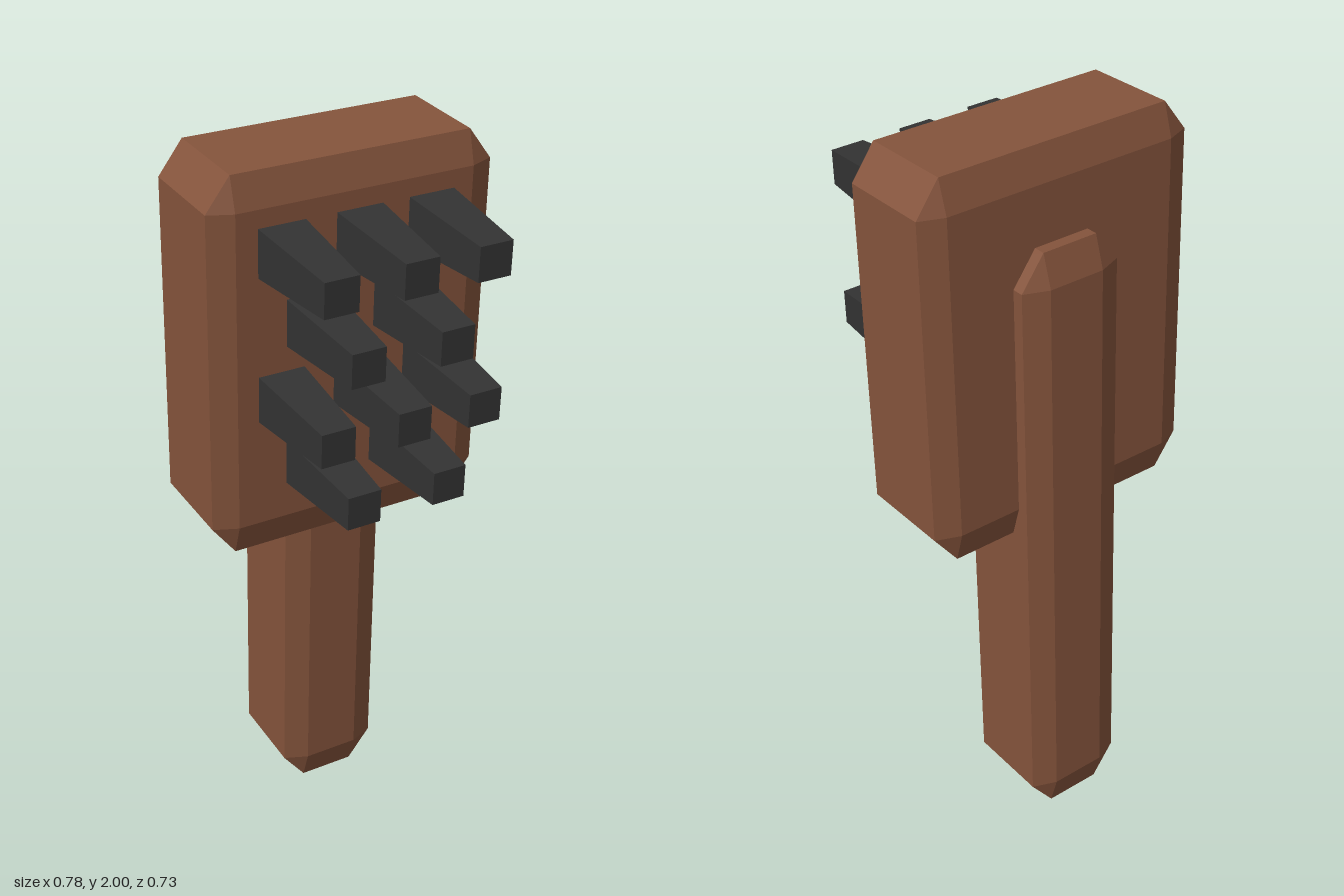
import * as THREE from 'three';
import { ConvexGeometry } from 'three/addons/geometries/ConvexGeometry.js';

const wood = new THREE.MeshStandardMaterial({ name: 'brown wood', color: 0x85543c, flatShading: true });
const rubber = new THREE.MeshStandardMaterial({ name: 'black bristle', color: 0x333333, flatShading: true });

// Box with every edge and corner bevelled; the bevel depth differs per axis
function bevelledBox(hx, hy, hz, bx, by, bz) {
  const points = [];
  for (const sx of [-1, 1]) for (const sy of [-1, 1]) for (const sz of [-1, 1]) {
    points.push(
      new THREE.Vector3(sx * hx, sy * (hy - by), sz * (hz - bz)),
      new THREE.Vector3(sx * (hx - bx), sy * hy, sz * (hz - bz)),
      new THREE.Vector3(sx * (hx - bx), sy * (hy - by), sz * hz));
  }
  return new ConvexGeometry(points);
}

export function createModel() {
  const model = new THREE.Group();
  model.name = 'hairbrush';

  // Handle, running up behind the head
  const handle = new THREE.Mesh(bevelledBox(0.143, 0.876, 0.142, 0.065, 0.087, 0.026), wood);
  handle.name = 'handle';
  handle.position.set(0.005, 0.881, -0.188);
  handle.rotation.x = 0.043;
  model.add(handle);

  // Head, leaning slightly forward with its bristles
  const brush = new THREE.Group();
  brush.name = 'brushHead';
  brush.position.set(-0.002, 1.4725, -0.0925);
  brush.rotation.x = 0.042;
  model.add(brush);

  const head = new THREE.Mesh(bevelledBox(0.392, 0.5225, 0.154, 0.065, 0.087, 0.026), wood);
  head.name = 'headBlock';
  brush.add(head);

  // Square tapered bristles in staggered rows of three and two
  const length = 0.31;
  const bristleGeometry = new THREE.CylinderGeometry(0.046 * Math.SQRT2, 0.065 * Math.SQRT2, length, 4)
    .rotateY(Math.PI / 4).rotateX(Math.PI / 2);
  const three = [-0.205, 0.007, 0.209], two = [-0.128, 0.117];
  [[0.324, three], [0.124, two], [-0.071, three], [-0.271, two]].forEach(([y, xs]) => {
    for (const x of xs) {
      const bristle = new THREE.Mesh(bristleGeometry, rubber);
      bristle.name = 'bristle';
      bristle.position.set(x, y, 0.442 - length / 2);
      brush.add(bristle);
    }
  });

  return model;
}
